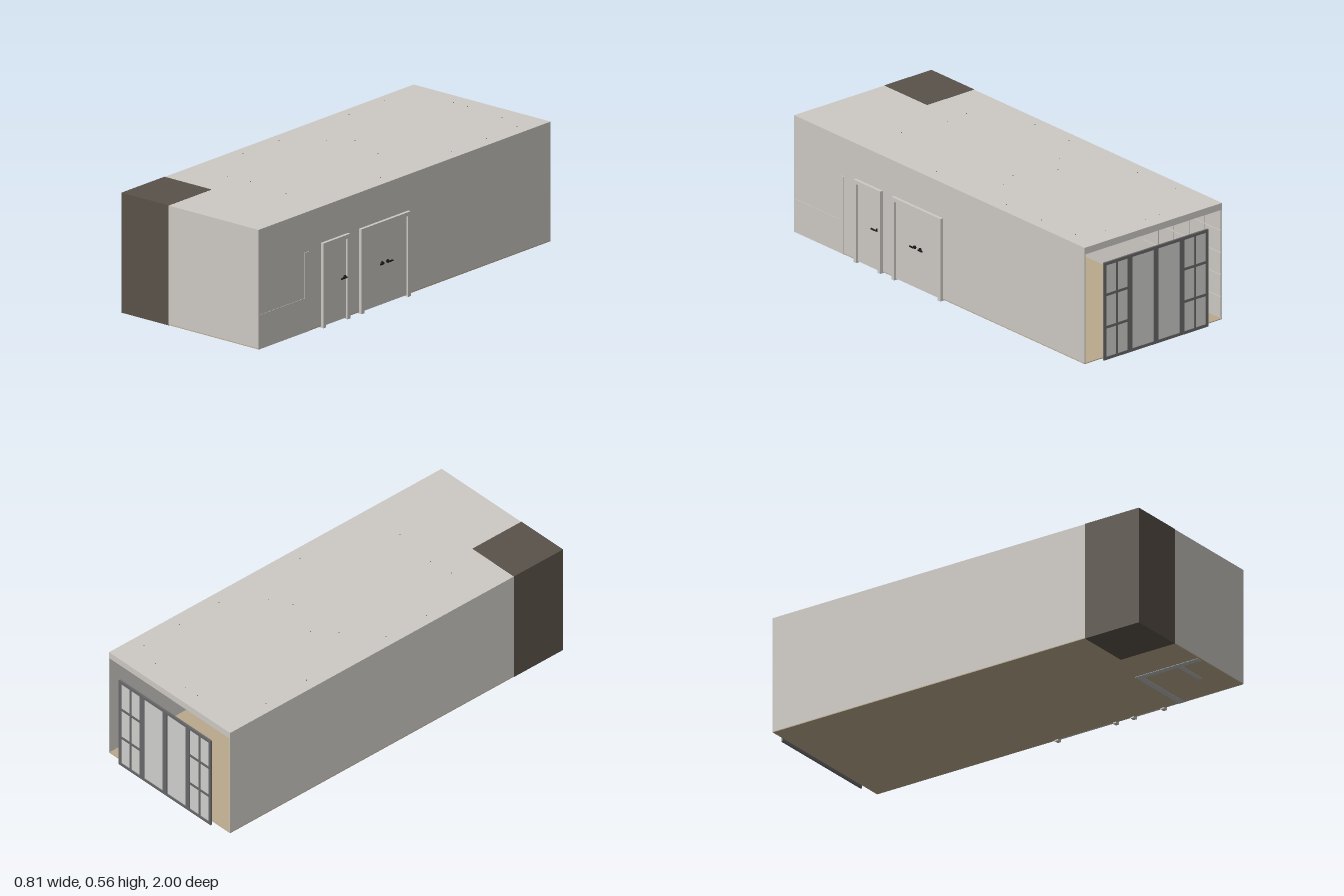
import * as THREE from 'three';

const mat = (name, color) => Object.assign(new THREE.MeshStandardMaterial({ color }), { name });

export function createModel() {
  const plaster = mat('plaster', 0xcdc9c3);
  const timber = mat('timberFloor', 0xb8a88c);
  const brown = mat('darkBrown', 0x5a5249);
  const frameGrey = mat('frameGrey', 0x68686a);
  const glass = mat('paleGlass', 0xcfcfcc);
  const stone = mat('partitionGrey', 0xb9b9bd);
  const black = mat('blackMetal', 0x1c1b1a);

  const room = new THREE.Group();
  room.name = 'room';

  // Box given by its min and max on each axis
  function box(parent, name, m, x0, x1, y0, y1, z0, z1) {
    const mesh = new THREE.Mesh(new THREE.BoxGeometry(x1 - x0, y1 - y0, z1 - z0), m);
    mesh.position.set((x0 + x1) / 2, (y0 + y1) / 2, (z0 + z1) / 2);
    mesh.name = name;
    parent.add(mesh);
    return mesh;
  }
  function group(name) {
    const g = new THREE.Group();
    g.name = name;
    room.add(g);
    return g;
  }

  // Shell, open at the back
  const L = -0.405, R = 0.386, B = 0.006, T = 0.56, Z0 = -0.975, Z1 = 1, t = 0.004;
  box(room, 'floor', timber, L, R, B, B + t, Z0, Z1);
  box(room, 'ceiling', plaster, L, R, T - t, T, Z0, Z1);
  box(room, 'rightWall', plaster, L, L + t, B + t, T - t, Z0, Z1);
  box(room, 'leftWall', plaster, R - t, R, B + t, T - t, Z0, Z1);
  box(room, 'frontWall', plaster, L, R, B + t, T - t, Z1 - t, Z1);
  box(room, 'backFascia', plaster, L, R, T - 0.032, T, Z0, Z0 + 0.006);

  // Solid dark block in the front corner
  box(room, 'cornerBlock', brown, L - 0.001, -0.134, B - 0.001, T + 0.001, 0.71, Z1 + 0.001);

  // Panelled lining on the inner side wall
  const lining = group('wallPanels');
  for (let row = 0; row < 5; row++) {
    for (let col = 0; col < 5; col++) {
      const y = 0.014 + row * 0.105, z = -0.97 + col * 0.105;
      box(lining, 'wallPanel', plaster, L + t, L + t + 0.004, y, y + 0.1, z, z + 0.1);
    }
  }

  // Low partitions in the front corner, their edges just breaking the shell
  const partitions = group('partitions');
  box(partitions, 'crossPartition', stone, 0.05, R - 0.001, 0.004, 0.375, 0.655, 0.685);
  box(partitions, 'sidePartition', stone, 0.05, 0.078, 0.004, 0.375, 0.685, 0.993);
  box(partitions, 'shortPartition', stone, 0.078, 0.23, 0.004, 0.375, 0.868, 0.89);
  box(partitions, 'partitionEdge', plaster, R - 0.002, R + 0.003, 0.006, 0.375, 0.66, 0.69);
  box(partitions, 'wainscot', plaster, R - 0.002, R + 0.002, 0.006, 0.165, 0.69, 0.998);

  // Doors with surrounds and lever handles
  function door(name, z0, z1, handles) {
    const g = group(name), w = 0.018, top = 0.393;
    for (const [a, b] of [[z0, z0 + w], [z1 - w, z1]]) {
      box(g, 'doorJamb', plaster, R - 0.008, 0.401, 0, top, a, b);
    }
    box(g, 'doorHead', plaster, R - 0.008, 0.401, top - w, top, z0 + w, z1 - w);
    box(g, 'doorLeaf', plaster, R - 0.006, R + 0.004, 0.006, top - w, z0 + w, z1 - w);
    for (const [z, dir] of handles) {
      const rose = new THREE.Mesh(new THREE.CylinderGeometry(0.008, 0.008, 0.006, 12), black);
      rose.rotation.z = Math.PI / 2;
      rose.position.set(R + 0.007, 0.198, z);
      rose.name = 'handleRose';
      g.add(rose);
      box(g, 'handleStem', black, R + 0.004, 0.405, 0.195, 0.201, z - 0.003, z + 0.003);
      const end = z + dir * 0.034;
      box(g, 'handleLever', black, 0.4, 0.405, 0.195, 0.201, Math.min(z, end), Math.max(z, end));
    }
  }
  door('singleDoor', 0.397, 0.578, [[0.425, 1]]);
  door('doubleDoor', -0.012, 0.32, [[0.135, -1], [0.172, 1]].map(([z, d]) => [z, d * 0.7]));

  // Glazed screen standing behind the opening
  const screen = group('glazedScreen');
  const x0 = -0.305, x1 = 0.295, y0 = 0.006, y1 = 0.47, f0 = -1, f1 = -0.991, w = 0.014;
  const bay = (x1 - x0) / 4;
  for (let i = 0; i < 4; i++) {
    const a = x0 + i * bay, b = a + bay;
    box(screen, 'stile', frameGrey, a, a + w, y0, y1, f0, f1);
    box(screen, 'stile', frameGrey, b - w, b, y0, y1, f0, f1);
    box(screen, 'bottomRail', frameGrey, a + w, b - w, y0, y0 + w, f0, f1);
    box(screen, 'topRail', frameGrey, a + w, b - w, y1 - w, y1, f0, f1);
    box(screen, 'pane', glass, a + w, b - w, y0 + w, y1 - w, -0.997, -0.994);
    if (i === 0 || i === 3) {
      const mid = (a + b) / 2;
      box(screen, 'mullion', frameGrey, mid - 0.005, mid + 0.005, y0 + w, y1 - w, f0 + 0.001, f1 - 0.001);
      for (const k of [1, 2]) {
        const y = y0 + (y1 - y0) * k / 3;
        box(screen, 'glazingBar', frameGrey, a + w, b - w, y - 0.006, y + 0.006, f0 + 0.0005, f1 - 0.0005);
      }
    }
  }

  // Ceiling spotlights, their tips just through the roof
  const spots = [
    [-0.355, -0.716], [-0.11, -0.9], [-0.03, -0.9], [0.186, -0.88], [0.316, -0.83], [-0.347, -0.469],
    [-0.351, 0], [-0.355, 0.237], [-0.187, -0.131], [-0.1, -0.22], [0.097, -0.146], [0.195, -0.2],
    [0.327, -0.375], [0.326, -0.612], [0.325, 0.103], [-0.202, 0.523], [-0.08, 0.51], [0.154, 0.543],
  ];
  const lights = group('spotlights');
  const bodyGeo = new THREE.CylinderGeometry(0.009, 0.009, 0.02, 10);
  const tipGeo = new THREE.CylinderGeometry(0.002, 0.002, 0.008, 6);
  for (const [x, z] of spots) {
    const body = new THREE.Mesh(bodyGeo, black);
    body.position.set(x, T - t - 0.01, z);
    body.name = 'spotlight';
    const tip = new THREE.Mesh(tipGeo, black);
    tip.position.set(x, T - 0.003, z);
    tip.name = 'spotlightTip';
    lights.add(body, tip);
  }
  return room;
}
